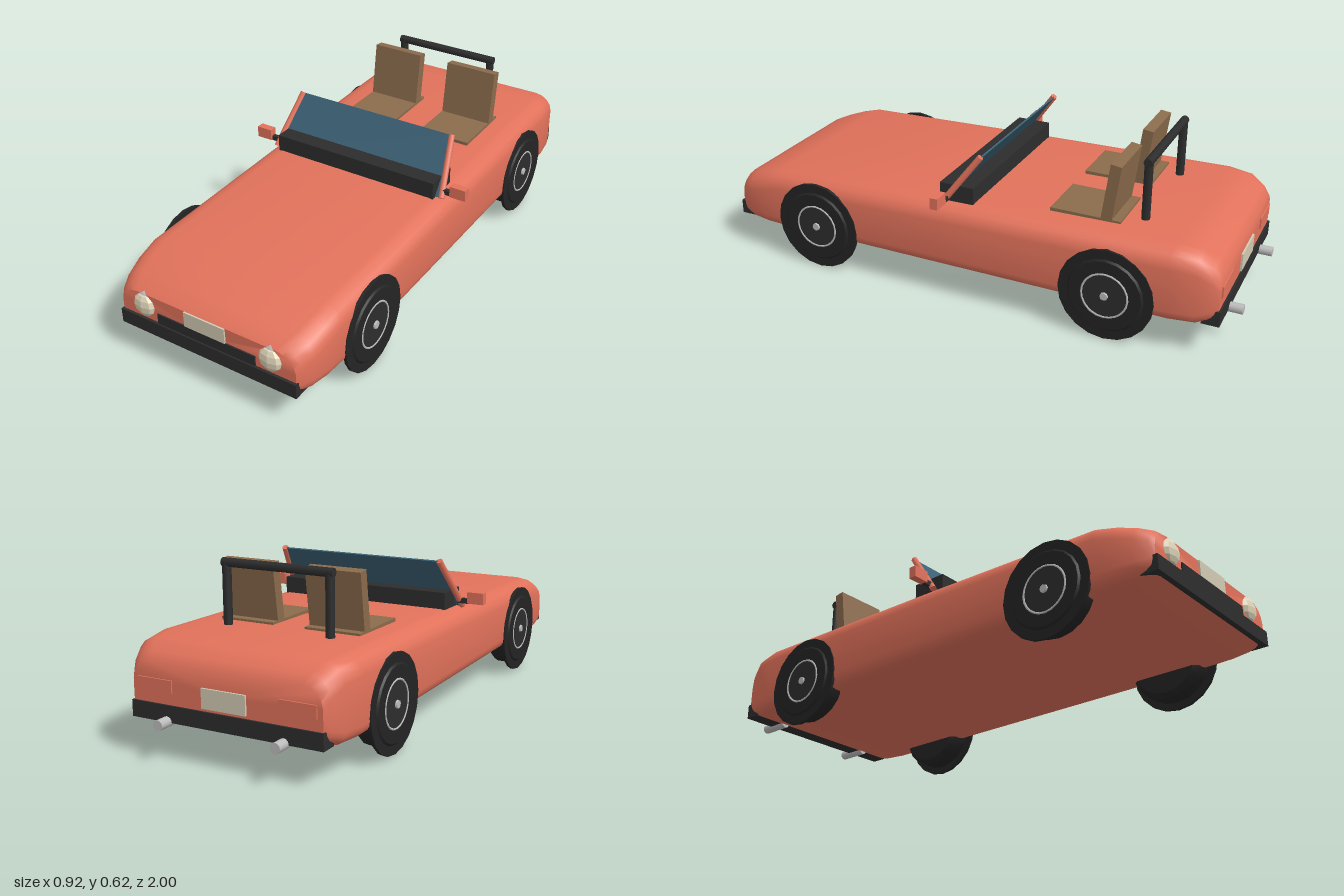
import * as THREE from 'three';
import { toCreasedNormals } from 'three/addons/utils/BufferGeometryUtils.js';

const mat = (name, color, extra = {}) => Object.assign(new THREE.MeshStandardMaterial({ color, ...extra }), { name });

export function createModel() {
  const paint = mat('coral paint', 0xe2725b);
  const trim = mat('black trim', 0x2d2d2d);
  const rubber = mat('tyre rubber', 0x242424);
  const leather = mat('tan leather', 0x8b6b4c);
  const cream = mat('cream', 0xd2cab2);
  const lens = mat('lens', 0xe2d8bc, { flatShading: true });
  const silver = mat('silver', 0xbcbcbc);
  const glass = mat('windscreen glass', 0x3b6074, { side: THREE.DoubleSide });

  const car = new THREE.Group();
  car.name = 'car';
  const add = (name, geometry, material, x = 0, y = 0, z = 0, parent = car) => {
    const m = new THREE.Mesh(geometry, material);
    m.name = name;
    m.position.set(x, y, z);
    parent.add(m);
    return m;
  };
  // box given by its min and max corners
  const box = (name, material, x0, x1, y0, y1, z0, z1) =>
    add(name, new THREE.BoxGeometry(Math.abs(x1 - x0), y1 - y0, z1 - z0), material, (x0 + x1) / 2, (y0 + y1) / 2, (z0 + z1) / 2);
  // cylinder between two points
  const rod = (name, material, a, b, r, sides = 8) => {
    const A = new THREE.Vector3(...a), B = new THREE.Vector3(...b);
    const m = add(name, new THREE.CylinderGeometry(r, r, A.distanceTo(B), sides), material);
    m.position.copy(A).add(B).multiplyScalar(0.5);
    m.quaternion.setFromUnitVectors(new THREE.Vector3(0, 1, 0), B.sub(A).normalize());
    return m;
  };

  add('body', bodyGeometry(), paint);

  // front and rear trim
  box('frontBumper', trim, -0.36, 0.36, 0.128, 0.183, 0.925, 0.99);
  box('grille', trim, -0.2, 0.2, 0.15, 0.222, 0.95, 0.985);
  box('frontPlate', cream, -0.083, 0.083, 0.222, 0.28, 0.978, 0.986);
  box('rearBumper', trim, -0.36, 0.36, 0.128, 0.185, -0.952, -0.89);
  box('rearPlate', cream, -0.083, 0.083, 0.195, 0.262, -0.952, -0.944);

  // cowl and windscreen
  box('cowl', trim, -0.34, 0.34, 0.365, 0.436, -0.037, 0.096);
  const pane = new THREE.Shape([[-0.355, 0], [0.355, 0], [0.322, 0.23], [-0.322, 0.23]].map(p => new THREE.Vector2(...p)));
  const screen = add('windscreen', new THREE.ExtrudeGeometry(pane, { depth: 0.006, bevelEnabled: false }), glass, 0, 0.37, 0.072);
  screen.rotation.x = -0.636;

  // roll bar
  rod('rollBarTop', trim, [-0.215, 0.6, -0.63], [0.215, 0.6, -0.63], 0.016);

  for (const s of [-1, 1]) {
    rod('windscreenPillar', paint, [s * 0.365, 0.372, 0.075], [s * 0.327, 0.558, -0.062], 0.012);
    rod('rollBarPost', trim, [s * 0.2, 0.36, -0.63], [s * 0.2, 0.605, -0.63], 0.016);
    box('mirror', paint, s * 0.395, s * 0.458, 0.387, 0.43, 0.043, 0.073);
    box('mirrorStalk', trim, s * 0.355, s * 0.4, 0.385, 0.403, 0.048, 0.066);
    box('tailLight', paint, s * 0.2, s * 0.335, 0.225, 0.268, -0.95, -0.942);
    rod('exhaust', silver, [s * 0.22, 0.131, -0.88], [s * 0.22, 0.131, -1], 0.018, 12);

    // headlight: silver bowl behind a faceted lens
    const bowl = add('headlightBowl', new THREE.SphereGeometry(0.05, 8, 6), silver, s * 0.258, 0.237, 0.972);
    bowl.scale.set(0.85, 1, 0.4);
    const lamp = add('headlightLens', new THREE.SphereGeometry(0.047, 8, 6), lens, s * 0.258, 0.235, 0.977);
    lamp.scale.set(1, 0.95, 0.48);

    // seat with reclined back
    box('seatCushion', leather, s * 0.063, s * 0.273, 0.365, 0.392, -0.565, -0.305);
    const back = add('seatBack', new THREE.BoxGeometry(0.21, 0.22, 0.04), leather, s * 0.168, 0.487, -0.525);
    back.rotation.x = -0.135;

    // wheels
    for (const z of [0.6, -0.565]) {
      const wheel = new THREE.Group();
      wheel.name = 'wheel';
      wheel.position.set(s * 0.362, 0.174, z);
      wheel.rotation.z = -s * Math.PI / 2; // local +y points outward
      car.add(wheel);
      const profile = [[0, -0.047], [0.13, -0.047], [0.146, -0.03], [0.147, 0.035], [0.132, 0.048], [0.088, 0.048], [0.084, 0.042], [0, 0.042]];
      const tyre = new THREE.LatheGeometry(profile.map(p => new THREE.Vector2(...p)), 20);
      add('tyre', toCreasedNormals(tyre, 0.5), rubber, 0, 0, 0, wheel);
      add('tyreFlange', new THREE.CylinderGeometry(0.173, 0.173, 0.012, 20), rubber, 0, 0.036, 0, wheel);
      add('rimDisc', new THREE.CylinderGeometry(0.08, 0.08, 0.006, 20), trim, 0, 0.044, 0, wheel);
      add('rimRing', new THREE.TorusGeometry(0.083, 0.004, 6, 24), silver, 0, 0.046, 0, wheel).rotation.x = Math.PI / 2;
      add('hubCap', new THREE.CylinderGeometry(0.014, 0.016, 0.012, 8), silver, 0, 0.048, 0, wheel);
    }
  }
  return car;
}

// body lofted through rounded sections, front to back
function bodyGeometry() {
  // z, half width, bottom, top
  const stations = [
    [0.98, 0.355, 0.132, 0.28], [0.965, 0.366, 0.126, 0.293], [0.92, 0.384, 0.122, 0.312], [0.85, 0.396, 0.12, 0.336],
    [0.78, 0.4, 0.12, 0.354], [0.1, 0.4, 0.12, 0.372], [-0.78, 0.4, 0.12, 0.388], [-0.87, 0.388, 0.122, 0.38],
    [-0.92, 0.37, 0.138, 0.35], [-0.945, 0.355, 0.15, 0.322],
  ];
  const seg = 4, pos = [], idx = [];
  const n = 4 * (seg + 1);
  for (const [z, w, y0, y1] of stations) {
    for (let q = 0; q < 4; q++) {
      const top = q < 2, rx = top ? 0.075 : 0.045, ry = top ? 0.065 : 0.045;
      const cx = (w - rx) * (q === 0 || q === 3 ? 1 : -1), cy = top ? y1 - ry : y0 + ry;
      for (let k = 0; k <= seg; k++) {
        const a = (q + k / seg) * Math.PI / 2;
        pos.push(cx + rx * Math.cos(a), cy + ry * Math.sin(a), z);
      }
    }
  }
  const last = stations.length - 1;
  for (let i = 0; i < last; i++) for (let j = 0; j < n; j++) {
    const a = i * n + j, b = i * n + (j + 1) % n;
    idx.push(a, a + n, b, b, a + n, b + n);
  }
  // end caps
  const c = pos.length / 3;
  pos.push(0, 0.21, stations[0][0], 0, 0.24, stations[last][0]);
  for (let j = 0; j < n; j++) {
    const k = (j + 1) % n;
    idx.push(c, j, k, c + 1, last * n + k, last * n + j);
  }
  const g = new THREE.BufferGeometry();
  g.setAttribute('position', new THREE.Float32BufferAttribute(pos, 3));
  g.setIndex(idx);
  return toCreasedNormals(g, 0.75);
}
